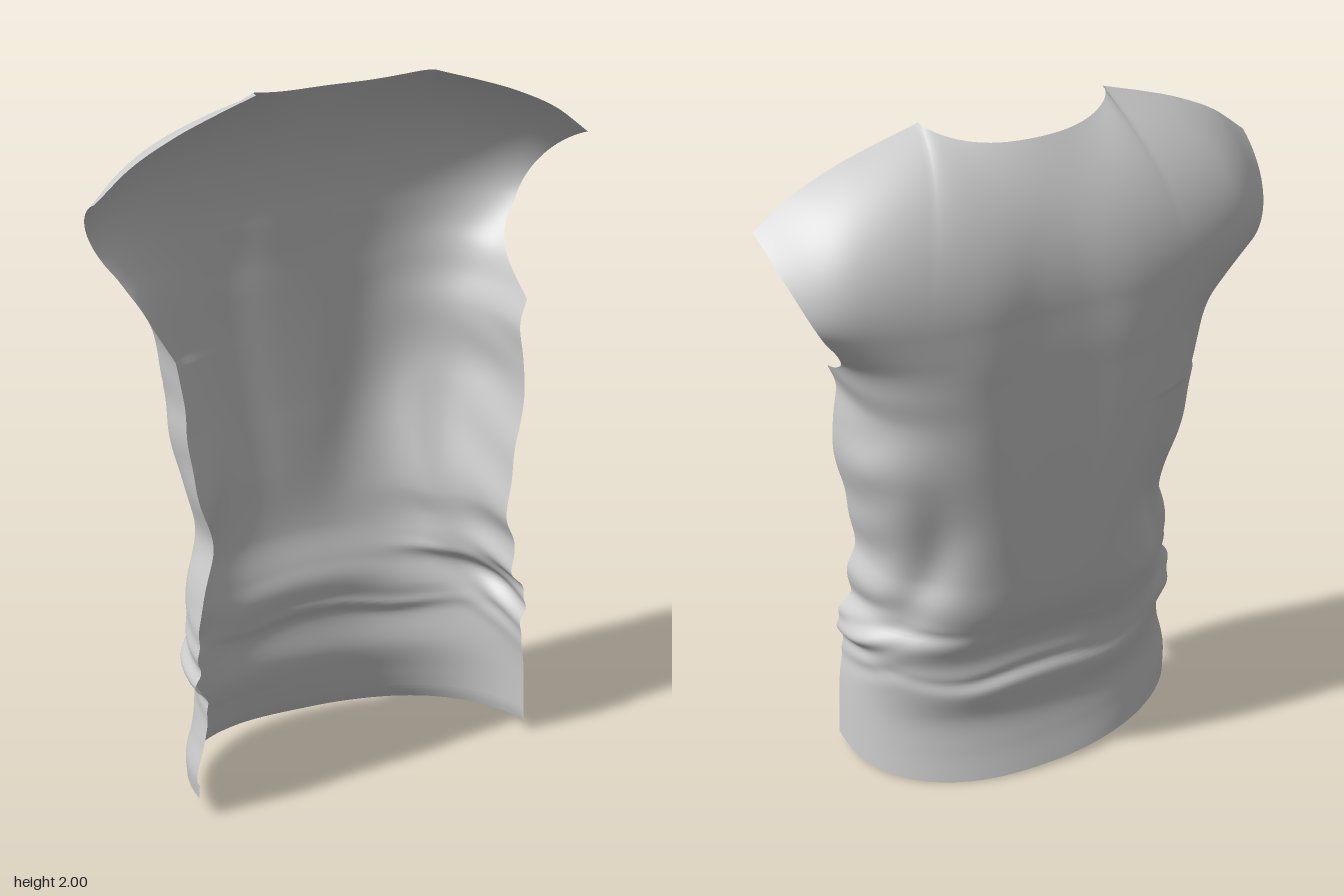
import * as THREE from 'three';

// Smooth interpolation through [t, value] keys
function key(k, t) {
  const n = k.length - 1;
  if (t <= k[0][0]) return k[0][1];
  if (t >= k[n][0]) return k[n][1];
  let i = 0;
  while (t > k[i + 1][0]) i++;
  const tangent = (j) => {
    const a = k[Math.max(0, j - 1)], b = k[Math.min(n, j + 1)];
    return (b[1] - a[1]) / (b[0] - a[0]);
  };
  const h = k[i + 1][0] - k[i][0], u = (t - k[i][0]) / h, u2 = u * u, u3 = u2 * u;
  return (2 * u3 - 3 * u2 + 1) * k[i][1] + (u3 - 2 * u2 + u) * h * tangent(i)
    + (3 * u2 - 2 * u3) * k[i + 1][1] + (u3 - u2) * h * tangent(i + 1);
}
const bump = (v, c, w) => Math.exp(-(((v - c) / w) ** 2));
const step = (a, b, v) => THREE.MathUtils.smoothstep(v, a, b);

// Outlines by height: back line, front edge, armhole edge, half widths, corner roundness
const ARMPIT = 1.335, TOP = 1.55;
const backZ = [[0, -.165], [.1, -.14], [.2, -.125], [.33, -.143], [.42, -.118], [.5, -.145], [.6, -.18], [.8, -.208], [1, -.222], [1.4, -.232], [TOP, -.227]];
const frontZ = [[0, .225], [.35, .23], [.6, .21], [.8, .195], [1, .175], [1.2, .16], [1.34, .14], [TOP, .125]];
const armholeZ = [[ARMPIT, .14], [1.35, .1], [1.38, .04], [1.42, -.02], [1.48, -.08], [TOP, -.105]];
const flare = [[1.34, .53], [1.42, .563], [1.48, .625], [TOP, .712]];
const rightW = [[0, .53], [.08, .535], [.2, .515], [.35, .5], [.41, .53], [.48, .515], [.6, .51], [.8, .46], [1, .5], [1.2, .515], ...flare];
const leftW = [[0, .515], [.2, .505], [.38, .49], [.46, .505], [.53, .465], [.62, .47], [.7, .45], [.8, .46], [1, .5], [1.1, .515], [1.25, .5], ...flare];
const roundness = [[0, .88], [.25, .84], [.45, .76], [.65, .8], [.85, .77], [1.05, .68], [1.25, .62], [1.4, .63], [1.48, .66], [TOP, .7]];
const hemLift = [[-1, .06], [-.6, .055], [-.3, .035], [0, .01], [.3, 0], [.7, .005], [1, .028]];
const creaseLift = [[-1, .06], [-.6, .045], [-.25, -.015], [0, .005], [.3, -.025], [.6, 0], [1, .05]];

// Body point: s runs round the back from right edge (-1) to left edge (1)
function body(s, y) {
  const p = key(roundness, y), sign = Math.sign(s);
  const zf = key(frontZ, y), zb = key(backZ, y - key(creaseLift, s) * bump(y, .4, .16));
  // Above the armpit the section is cut off at the armhole
  const cut = y > ARMPIT ? Math.max(0, (zf - key(armholeZ, y)) / (zf - key(backZ, y))) : 0;
  const a = Math.abs(s) * Math.acos(Math.pow(cut, 1 / p)), q = a / (Math.PI / 2);
  // Long folds sweeping from the shoulder blades to the sides, shorter on the left
  const zone = step(.42, .62, y) * (1 - (s < 0 ? step(.9, 1.35, y) : step(.75, 1.2, y)));
  const sweep = .42 + .22 * step(1.2, .5, y) + .2 * (1 - step(.5, 1, y));
  let d = -.026 * zone * bump(q, sweep, .14);
  // Hollow along the spine
  d -= .015 * bump(s, 0, .12) * step(.55, .95, y);
  // Crease above the waistband, fading to both sides
  const line = .355 + key(creaseLift, s);
  d -= .012 * bump(y, line, .02) * bump(s, .15, .4);
  d += .008 * bump(y, line + .06, .04) * bump(s, 0, .6);
  // Second, shorter crease on the left
  d -= .008 * bump(y, .51, .018) * bump(s, .5, .18);
  // Small gathers at the sides
  const side = step(.5, .9, q) * step(.2, .4, y) * (1 - step(1.15, 1.35, y));
  d += .003 * side * Math.sin(y * 31 + s * 8);
  d += .008 * side * bump(y, .43, .1) * Math.sin(y * 75 + q * 15);
  const x = key(s < 0 ? rightW : leftW, y) * Math.pow(Math.sin(a), p) + d * Math.sin(a);
  const z = zf + (zb - zf) * Math.pow(Math.max(0, Math.cos(a)), p) - d * Math.cos(a);
  return new THREE.Vector3(sign * x, y + key(hemLift, s) * (1 - step(0, .35, y)), z);
}

// Top border: neckline in the middle, shoulder seams outside it
const NECK = .4;
const seamY = [[.267, 2], [.4, 1.957], [.5, 1.92], [.62, 1.86], [.722, 1.78]];
function border(s) {
  const m = Math.abs(s), sign = Math.sign(s);
  if (m <= NECK) {
    const a = m / NECK * Math.PI / 2;
    return new THREE.Vector3(sign * .267 * Math.sin(a), 1.96 + .04 * Math.sin(a) ** 3, .092 - .137 * Math.cos(a));
  }
  const t = (m - NECK) / (1 - NECK), x = .267 + .455 * t;
  return new THREE.Vector3(sign * x, key(seamY, x), .092 + .018 * t);
}

// Yoke: continues the slope of the body and bends over into the border
const midX = [[-.4, -.29], [0, 0], [.4, .29], [.7, .52], [1, .7]];
const midY = [[-.4, 1.91], [0, 1.76], [.4, 1.91], [.7, 1.86], [1, 1.7]];
const midZ = [[-.4, -.19], [0, -.22], [.4, -.19], [.7, -.165], [1, -.1]];
const reach = [[-.4, .2], [0, .14], [.4, .2], [.7, .17], [1, .08]];
function yoke(s, t) {
  const m = Math.abs(s), start = body(s, TOP), end = border(s);
  const slope = start.clone().sub(body(s, TOP - .01)).multiplyScalar(100);
  const lower = start.clone().addScaledVector(slope, key(reach, m));
  const upper = new THREE.Vector3(Math.sign(s) * key(midX, m), key(midY, m), key(midZ, m)).lerp(end, 1 / 3);
  return new THREE.CubicBezierCurve3(start, lower, upper, end).getPoint(t);
}

// Grid surface from a point rule
function sheet(name, cols, rows, rule) {
  const pos = [], index = [];
  for (let j = 0; j <= rows; j++) {
    for (let i = 0; i <= cols; i++) pos.push(...rule(i / cols * 2 - 1, j / rows).toArray());
  }
  for (let j = 0; j < rows; j++) {
    for (let i = 0; i < cols; i++) {
      const a = j * (cols + 1) + i, b = a + cols + 1;
      index.push(a, b, a + 1, b, b + 1, a + 1);
    }
  }
  const geo = new THREE.BufferGeometry();
  geo.setAttribute('position', new THREE.Float32BufferAttribute(pos, 3));
  geo.setIndex(index);
  geo.computeVertexNormals();
  const mesh = new THREE.Mesh(geo, new THREE.MeshStandardMaterial({ color: 0xcccccc, side: THREE.DoubleSide }));
  mesh.name = name;
  return mesh;
}

export function createModel() {
  const group = new THREE.Group();
  group.name = 'shirtBack';
  // Back panel with body and yoke in one continuous sheet
  const split = .78;
  group.add(sheet('backPanel', 120, 200, (s, v) =>
    v <= split ? body(s, v / split * TOP) : yoke(s, (v - split) / (1 - split))));
  // Turned-up hem just inside the lower edge
  group.add(sheet('hem', 120, 4, (s, v) => {
    const p = body(s, v * .045), inset = .006 * Math.sin(v * Math.PI / 2);
    const a = s * Math.PI / 2;
    return p.add(new THREE.Vector3(-inset * Math.sin(a), 0, inset * Math.cos(a)));
  }));
  return group;
}
